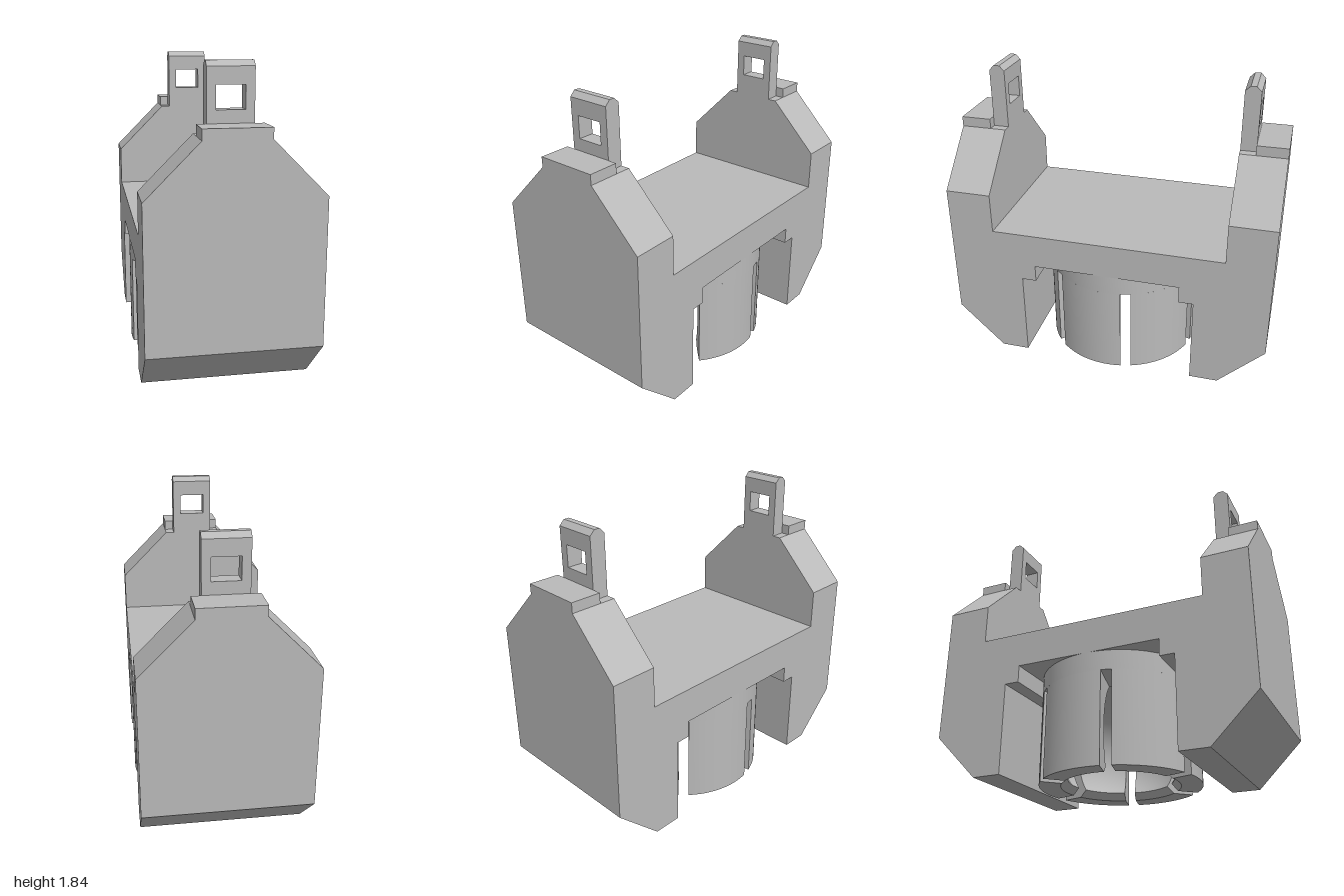
import * as THREE from 'three';
import { mergeGeometries, toCreasedNormals } from 'three/addons/utils/BufferGeometryUtils.js';

const grey = new THREE.MeshStandardMaterial({ color: 0xbababa });
grey.name = 'plain grey';

const HALF_WIDTH = 0.49;

function add(parent, geometry, name) {
  const mesh = new THREE.Mesh(geometry, grey);
  mesh.name = name;
  parent.add(mesh);
  return mesh;
}

const shapeOf = (points) => new THREE.Shape(points.map(([x, y]) => new THREE.Vector2(x, y)));

// Outline in (x, y), extruded from z0 to z1
function extrudeZ(shape, z0, z1) {
  return new THREE.ExtrudeGeometry(shape, { depth: z1 - z0, bevelEnabled: false }).translate(0, 0, z0);
}

// Outline in (z, y), extruded to both sides of x = 0
function extrudeX(points, half) {
  return extrudeZ(shapeOf(points), -half, half).rotateY(-Math.PI / 2);
}

// Spherical seat inside the socket
const BALL_R = 0.38, BALL_Y = 0.25, OUTER_R = 0.49, SLOT_TOP = 0.56, LIP_Y = 0.04;
const SLOT_HALF = 0.0325;
const seatRadius = (y) => Math.sqrt(BALL_R ** 2 - (y - BALL_Y) ** 2);

function seatArc(yTop, yBottom, steps) {
  const a0 = Math.asin((yTop - BALL_Y) / BALL_R);
  const a1 = Math.asin((yBottom - BALL_Y) / BALL_R);
  return Array.from({ length: steps + 1 }, (_, i) => {
    const a = a0 + ((a1 - a0) * i) / steps;
    return new THREE.Vector2(Math.max(0, BALL_R * Math.cos(a)), BALL_Y + BALL_R * Math.sin(a));
  });
}

// One finger of the socket, with parallel-sided gaps at both ends
function fingerGeometry() {
  const profile = [
    new THREE.Vector2(OUTER_R, 0),
    new THREE.Vector2(OUTER_R, SLOT_TOP),
    ...seatArc(SLOT_TOP, LIP_Y, 18),
    new THREE.Vector2(0.36, 0),
  ];
  const span = Math.PI / 3;
  const wall = new THREE.LatheGeometry([...profile, profile[0].clone()], 16, 0, span);
  const p = wall.attributes.position;
  for (let i = 0; i < p.count; i++) {
    const r = Math.hypot(p.getX(i), p.getZ(i));
    const t = Math.atan2(p.getX(i), p.getZ(i)) / span;
    const inset = Math.asin(SLOT_HALF / r);
    const phi = inset + t * (span - 2 * inset);
    p.setX(i, r * Math.sin(phi));
    p.setZ(i, r * Math.cos(phi));
  }
  // Flat walls of the slots
  const section = profile.map((v) => [Math.sqrt(v.x ** 2 - SLOT_HALF ** 2), v.y]);
  const start = new THREE.ShapeGeometry(shapeOf(section))
    .rotateY(-Math.PI / 2).translate(SLOT_HALF, 0, 0);
  const end = new THREE.ShapeGeometry(shapeOf(section.map(([d, y]) => [-d, y])))
    .rotateY(Math.PI / 2).translate(-SLOT_HALF, 0, 0).rotateY(span);
  const parts = [wall, start, end].map((g) => {
    const flat = g.toNonIndexed();
    flat.deleteAttribute('uv');
    return flat;
  });
  return toCreasedNormals(mergeGeometries(parts), 0.45);
}

export function createModel() {
  const model = new THREE.Group();
  model.name = 'socketBracket';

  // Main body with an arched underside, up to where the uprights taper
  const half = [
    [0.455, 0.68], [0.455, 0.575], [0.545, 0.575], [0.545, 0.02],
    [0.72, 0.02], [1, 0.295], [1, 1.14], [0.72, 1.14], [0.72, 0.895],
  ];
  const mirrored = half.map(([z, y]) => [-z, y]).reverse();
  add(model, extrudeX([...half, ...mirrored], HALF_WIDTH), 'body');

  // Tapered shoulder, step and pierced tab on each upright
  for (const [name, turn] of [['frontUpright', 0], ['backUpright', Math.PI]]) {
    const upright = new THREE.Group();
    upright.name = name;
    upright.rotation.y = turn;
    model.add(upright);

    add(upright, extrudeZ(shapeOf([
      [-HALF_WIDTH, 1.14], [HALF_WIDTH, 1.14], [0.185, 1.447], [-0.185, 1.447],
    ]), 0.72, 1), 'shoulder');

    add(upright, new THREE.BoxGeometry(0.37, 0.061, 0.185).translate(0, 1.4775, 0.9075), 'step');

    const plate = shapeOf([[-0.13, 1.447], [0.13, 1.447], [0.13, 1.805], [-0.13, 1.805]]);
    plate.holes.push(new THREE.Path([
      new THREE.Vector2(-0.08, 1.58), new THREE.Vector2(-0.08, 1.71),
      new THREE.Vector2(0.08, 1.71), new THREE.Vector2(0.08, 1.58),
    ]));
    add(upright, extrudeZ(plate, 0.72, 0.815), 'tab');
    add(upright, extrudeX([
      [0.72, 1.805], [0.815, 1.805], [0.785, 1.835], [0.75, 1.835],
    ], 0.13), 'tabTip');
  }

  // Socket crown with a domed ceiling
  const socket = new THREE.Group();
  socket.name = 'socket';
  model.add(socket);
  const crown = new THREE.LatheGeometry([
    new THREE.Vector2(OUTER_R, SLOT_TOP),
    new THREE.Vector2(OUTER_R, 0.685),
    new THREE.Vector2(0, 0.685),
    ...seatArc(BALL_Y + BALL_R, SLOT_TOP, 6),
    new THREE.Vector2(seatRadius(SLOT_TOP), SLOT_TOP),
    new THREE.Vector2(OUTER_R, SLOT_TOP),
  ], 96);
  add(socket, toCreasedNormals(crown, 0.45), 'socketCrown');

  // Six gripping fingers
  const finger = fingerGeometry();
  for (let i = 0; i < 6; i++) {
    add(socket, finger, 'socketFinger').rotation.y = THREE.MathUtils.degToRad(44.5 + 60 * i);
  }

  return model;
}
